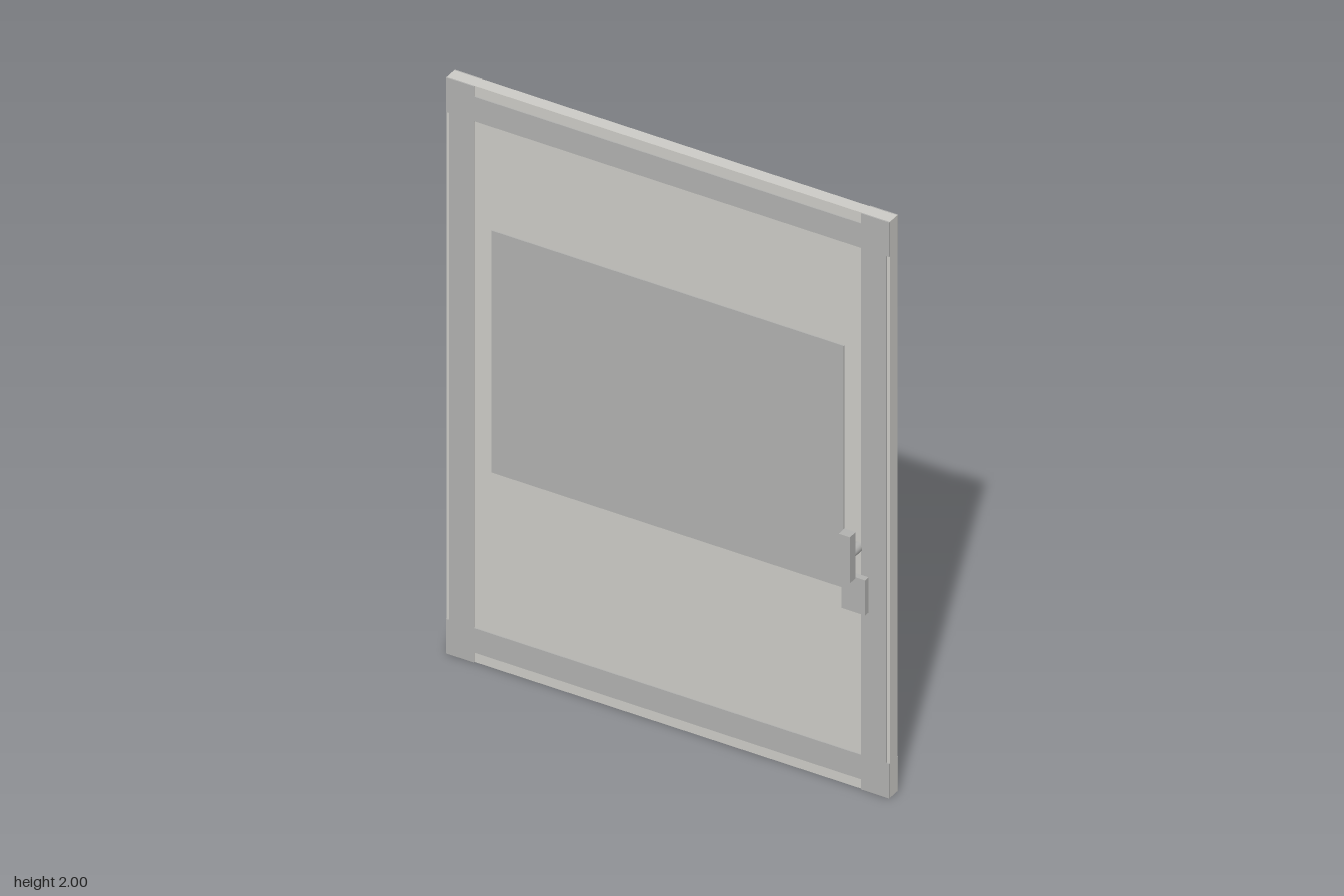
import * as THREE from 'three';

const W = 0.755, H = 2, CORE = 0.021, FACE = 0.025;

export function createModel() {
  const pale = new THREE.MeshStandardMaterial({ color: 0xcdccc7 });
  pale.name = 'paleGrey';
  const grey = new THREE.MeshStandardMaterial({ color: 0xb2b2b0 });
  grey.name = 'midGrey';

  const door = new THREE.Group();
  door.name = 'door';

  const add = (name, geometry, material, x, y, z) => {
    const mesh = new THREE.Mesh(geometry, material);
    mesh.name = name;
    mesh.position.set(x, y, z);
    door.add(mesh);
    return mesh;
  };
  const box = (name, material, w, h, d, x, y, z) =>
    add(name, new THREE.BoxGeometry(w, h, d), material, x, y, z);

  // Solid door leaf
  box('leaf', pale, W * 2, H, CORE * 2, 0, H / 2, 0);

  // Raised frame outline: full corners, slightly inset stiles and rails
  const xi = 0.66, xo = 0.745, yi = 0.88, yo = 0.965;
  const outline = [];
  const corner = [[W, -yi], [xo, -yi], [xo, yi], [W, yi], [W, 1], [xi, 1], [xi, yo]];
  for (const s of [1, -1]) {
    for (const [x, y] of corner) outline.push(new THREE.Vector2(x * s, y * s));
    outline.push(new THREE.Vector2(-xi * s, yo * s), new THREE.Vector2(-xi * s, s), new THREE.Vector2(-W * s, s), new THREE.Vector2(-W * s, yi * s));
    // the next half begins at the opposite corner, so drop its repeated first point
    outline.pop();
  }
  const frameShape = new THREE.Shape(outline);
  frameShape.holes.push(new THREE.Path([
    new THREE.Vector2(-xi, -yi), new THREE.Vector2(-xi, yi),
    new THREE.Vector2(xi, yi), new THREE.Vector2(xi, -yi),
  ]));
  const depth = FACE - CORE;
  const frame = new THREE.ExtrudeGeometry(frameShape, { depth, bevelEnabled: false });

  // Both faces carry a frame, a centre panel, a handle and a lock
  for (const s of [1, -1]) {
    const side = s > 0 ? 'front' : 'back';
    add(side + 'Frame', frame, grey, 0, H / 2, s > 0 ? CORE : -FACE);
    box(side + 'Panel', grey, 1.2, 0.84, depth, 0, 1.1, s * (CORE + depth / 2));
    box(side + 'Lock', grey, 0.08, 0.122, 0.02, 0.646, 0.685, s * 0.036);
    box(side + 'Handle', grey, 0.038, 0.16, 0.033, 0.646, 0.837, s * 0.081);
  }

  // Short spindle joining the front handle to the leaf
  add('handleSpindle', new THREE.CylinderGeometry(0.017, 0.017, 0.05, 16), grey, 0.646, 0.837, 0.045)
    .rotation.x = Math.PI / 2;

  return door;
}
